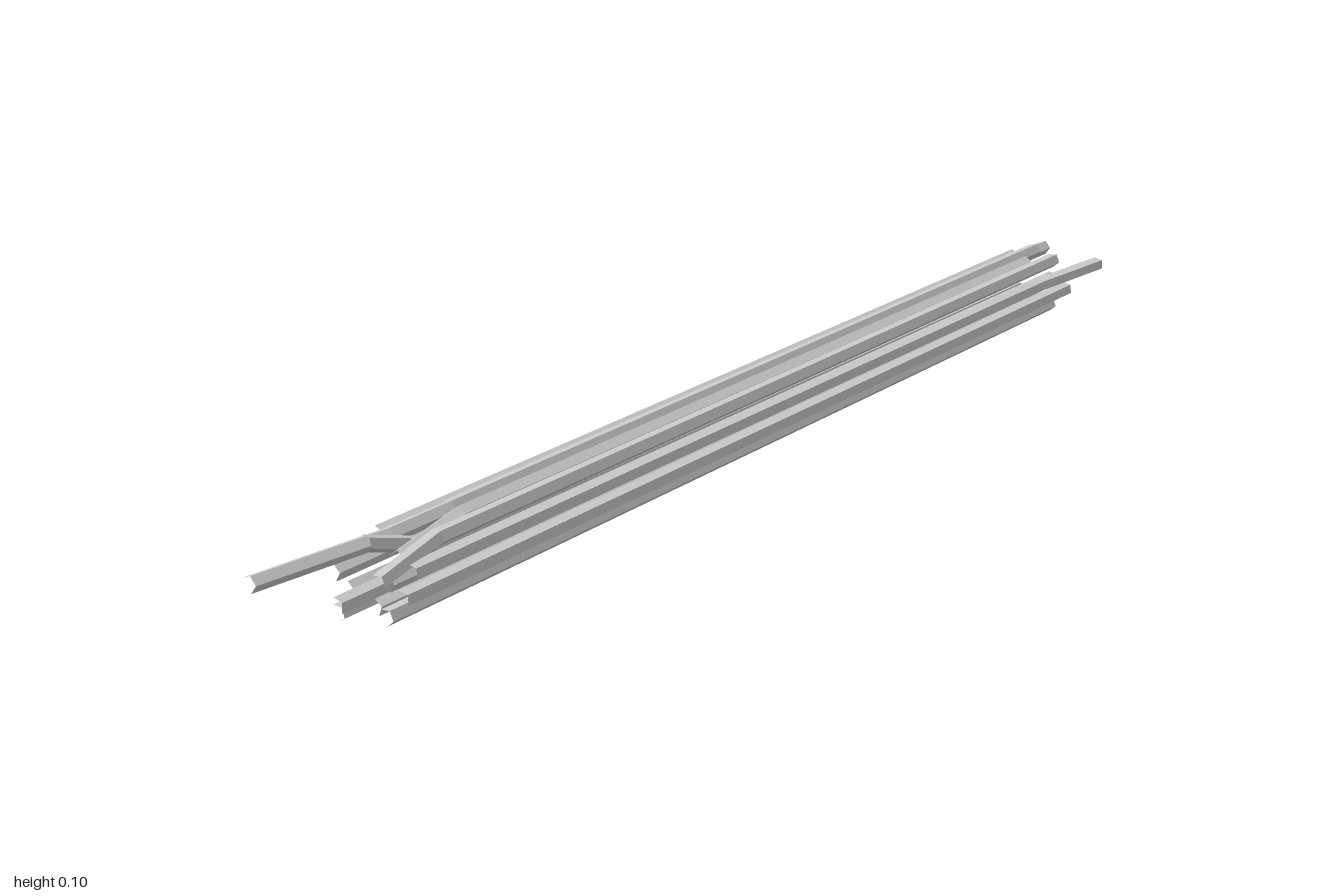
import * as THREE from 'three';

const SIDES = 5;
const RADIUS = 0.012;

// Open five-sided stick lofted through a few points running from back to front
function stickGeometry(points, turn) {
  const positions = [];
  const indices = [];
  points.forEach(([x, y, z], ring) => {
    for (let i = 0; i < SIDES; i++) {
      const a = turn + (i / SIDES) * Math.PI * 2;
      positions.push(x + RADIUS * Math.cos(a), y + RADIUS * Math.sin(a), z);
      if (ring === 0) continue;
      const next = (i + 1) % SIDES;
      const b = (ring - 1) * SIDES;
      const f = ring * SIDES;
      indices.push(b + i, b + next, f + next, b + i, f + next, f + i);
    }
  });
  const geometry = new THREE.BufferGeometry();
  geometry.setAttribute('position', new THREE.Float32BufferAttribute(positions, 3));
  geometry.setIndex(indices);
  geometry.computeVertexNormals();
  return geometry;
}

export function createModel() {
  const group = new THREE.Group();
  group.name = 'stickBundle';
  const material = new THREE.MeshStandardMaterial({ color: 0xcccccc, flatShading: true });

  const sticks = {
    // Bent sticks that splay out at one end
    leftLongStick: [[-0.043, 0.077, -1], [-0.047, 0.075, 0.78], [-0.085, 0.07, 1]],
    rightSplayedStick: [[0.083, 0.075, -0.95], [0.058, 0.07, -0.79], [0.053, 0.069, 0.86]],
    leftSplayedStick: [[-0.083, 0.054, -0.85], [-0.065, 0.051, -0.77], [-0.063, 0.05, 0.87]],
    risingStick: [[-0.02, 0.04, -0.86], [-0.02, 0.042, 0.69], [-0.018, 0.094, 0.86]],
    topStick: [[0.005, 0.09, -0.84], [0.005, 0.09, 0.7], [0.008, 0.069, 0.83]],
    rightTopStick: [[0.031, 0.088, -0.89], [0.031, 0.087, 0.78], [0.05, 0.073, 0.92]],
    upperLeftStick: [[-0.066, 0.073, -0.93], [-0.066, 0.073, 0.78]],
    topLeftStick: [[-0.02, 0.092, -0.92], [-0.02, 0.091, 0.69]],
    // Straight sticks
    middleStick: [[0, 0.04, -0.945], [0, 0.04, 0.94]],
    innerRightStick: [[0.028, 0.056, -0.88], [0.031, 0.057, 0.88]],
    outerRightStick: [[0.046, 0.036, -0.91], [0.046, 0.036, 0.87]],
    lowerLeftStick: [[-0.047, 0.026, -0.9], [-0.049, 0.027, 0.86]],
    bottomLeftStick: [[-0.03, 0.012, -0.92], [-0.032, 0.012, 0.9]],
    bottomMiddleStick: [[-0.005, 0.012, -0.91], [-0.006, 0.012, 0.86]],
    bottomRightStick: [[0.027, 0.012, -0.89], [0.028, 0.012, 0.88]],
  };

  Object.entries(sticks).forEach(([name, points], i) => {
    const mesh = new THREE.Mesh(stickGeometry(points, i * 0.7), material);
    mesh.name = name;
    group.add(mesh);
  });
  return group;
}
